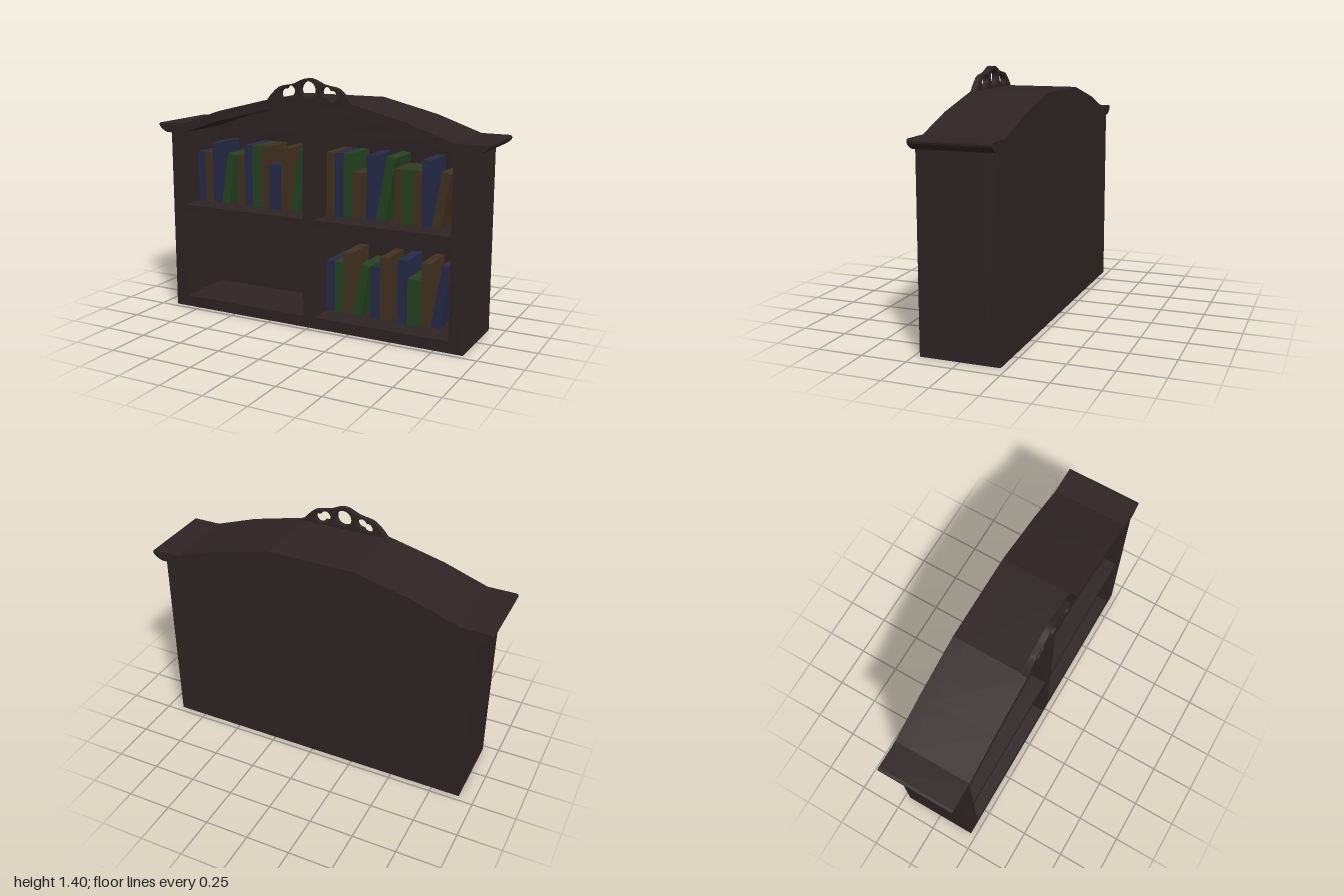
import * as THREE from 'three';
import { toCreasedNormals } from 'three/addons/utils/BufferGeometryUtils.js';

const FRONT = 0.218, BACK = -0.218, INNER_BACK = -0.14;
const mat = (color) => new THREE.MeshStandardMaterial({ color });
const V = (x, y) => new THREE.Vector2(x, y);
const flip = (pts) => pts.map((p) => V(-p.x, p.y)).reverse();

export function createModel() {
  const model = new THREE.Group();
  const wood = mat(0x2e2423);
  const bookMats = { b: mat(0x262b47), g: mat(0x24421f), n: mat(0x413120) };

  // Extrudes a shape between two depths
  function slab(name, shape, z0, z1, curveSegments = 8) {
    const geo = new THREE.ExtrudeGeometry(shape, { depth: z1 - z0, bevelEnabled: false, curveSegments });
    geo.translate(0, 0, z0);
    const mesh = new THREE.Mesh(toCreasedNormals(geo, 0.24), wood);
    mesh.name = name;
    model.add(mesh);
  }

  // Right half of the silhouette: side, rounded cornice, arched top
  const lip = new THREE.QuadraticBezierCurve(V(0.935, 1.052), V(0.965, 1.053), V(0.997, 1.085));
  const half = [
    V(0.912, 0), V(0.912, 1.052), ...lip.getPoints(8),
    V(1, 1.095), V(0.998, 1.104), V(0.985, 1.108),
    V(0.83, 1.108), V(0.58, 1.195), V(0.25, 1.276),
  ];
  const outline = () => new THREE.Shape([...half, ...flip(half)]);

  // Carcass with four compartments, and its solid back
  const upper = [V(0.035, 0.627), V(0.83, 0.627), V(0.83, 1.055), V(0.58, 1.14), V(0.25, 1.22), V(0.035, 1.22)];
  const lower = [V(0.035, 0.065), V(0.83, 0.065), V(0.83, 0.58), V(0.035, 0.58)];
  const frame = outline();
  for (const hole of [upper, lower]) {
    frame.holes.push(new THREE.Path(hole), new THREE.Path(flip(hole)));
  }
  slab('carcass', frame, INNER_BACK, FRONT);
  slab('backPanel', outline(), BACK, INNER_BACK);

  // Pierced crest on the front edge of the top
  const crestHalf = [
    V(0.258, 1.272), V(0.235, 1.3), V(0.205, 1.33), V(0.18, 1.349), V(0.155, 1.358),
    V(0.12, 1.363), V(0.085, 1.371), V(0.055, 1.385), V(0.03, 1.396), V(0.012, 1.4),
  ];
  const crest = new THREE.Shape([...crestHalf, ...flip(crestHalf)]);
  crest.holes.push(new THREE.Path().absarc(0, 1.339, 0.047, 0, Math.PI * 2));
  // Each side hole is two overlapping circles
  const dir = 0.494, a = 0.849, r = 0.03;
  const pair = new THREE.Path();
  pair.absarc(-0.144, 1.311, r, dir + a, dir + 2 * Math.PI - a);
  pair.absarc(-0.109, 1.33, r, dir + Math.PI + a, dir + 3 * Math.PI - a);
  const pairPts = pair.getPoints(10).slice(0, -1);
  crest.holes.push(new THREE.Path(pairPts), new THREE.Path(flip(pairPts)));
  slab('crest', crest, 0.185, FRONT, 16);

  // Books: [colour, left, right, height, leaning]; leaning ones tip over their lower right corner
  const TILT = 0.17, BOOK_FRONT = 0.075;
  function shelfOfBooks(name, y, books) {
    const group = new THREE.Group();
    group.name = name;
    const depth = BOOK_FRONT - INNER_BACK;
    for (const [colour, x0, x1, h, leaning] of books) {
      const w = x1 - x0 - 0.001;
      const geo = new THREE.BoxGeometry(w, h, depth).translate(-w / 2, h / 2, 0);
      const book = new THREE.Mesh(geo, bookMats[colour]);
      book.name = leaning ? 'leaningBook' : 'book';
      book.position.set(x1, y, (BOOK_FRONT + INNER_BACK) / 2);
      if (leaning) book.rotation.z = -TILT;
      group.add(book);
    }
    model.add(group);
  }

  const S = 0.26, M = 0.3, L = 0.36;
  shelfOfBooks('upperRightBooks', 0.627, [
    ['b', -0.83, -0.78, M], ['n', -0.78, -0.727, M], ['b', -0.727, -0.678, L],
    ['g', -0.668, -0.615, M, true], ['n', -0.555, -0.503, M], ['b', -0.503, -0.449, L],
    ['g', -0.449, -0.39, L], ['n', -0.39, -0.339, L], ['b', -0.339, -0.257, S],
    ['n', -0.257, -0.203, L], ['g', -0.198, -0.142, L, true], ['b', -0.094, -0.037, M],
  ]);
  shelfOfBooks('upperLeftBooks', 0.627, [
    ['n', 0.037, 0.091, L], ['b', 0.091, 0.144, L], ['g', 0.144, 0.198, L],
    ['n', 0.198, 0.28, S], ['b', 0.283, 0.337, L], ['g', 0.342, 0.396, L, true],
    ['n', 0.449, 0.497, M], ['g', 0.497, 0.56, M], ['n', 0.56, 0.606, M],
    ['b', 0.606, 0.66, L], ['n', 0.668, 0.72, M, true], ['b', 0.777, 0.83, M],
  ]);
  shelfOfBooks('lowerLeftBooks', 0.065, [
    ['b', 0.037, 0.091, M], ['g', 0.091, 0.144, M], ['n', 0.144, 0.2, L],
    ['g', 0.205, 0.257, M, true], ['b', 0.316, 0.37, M], ['n', 0.37, 0.422, L],
    ['b', 0.476, 0.535, L], ['g', 0.535, 0.615, S], ['n', 0.615, 0.668, L],
    ['b', 0.674, 0.726, L, true], ['n', 0.777, 0.83, M],
  ]);

  return model;
}
